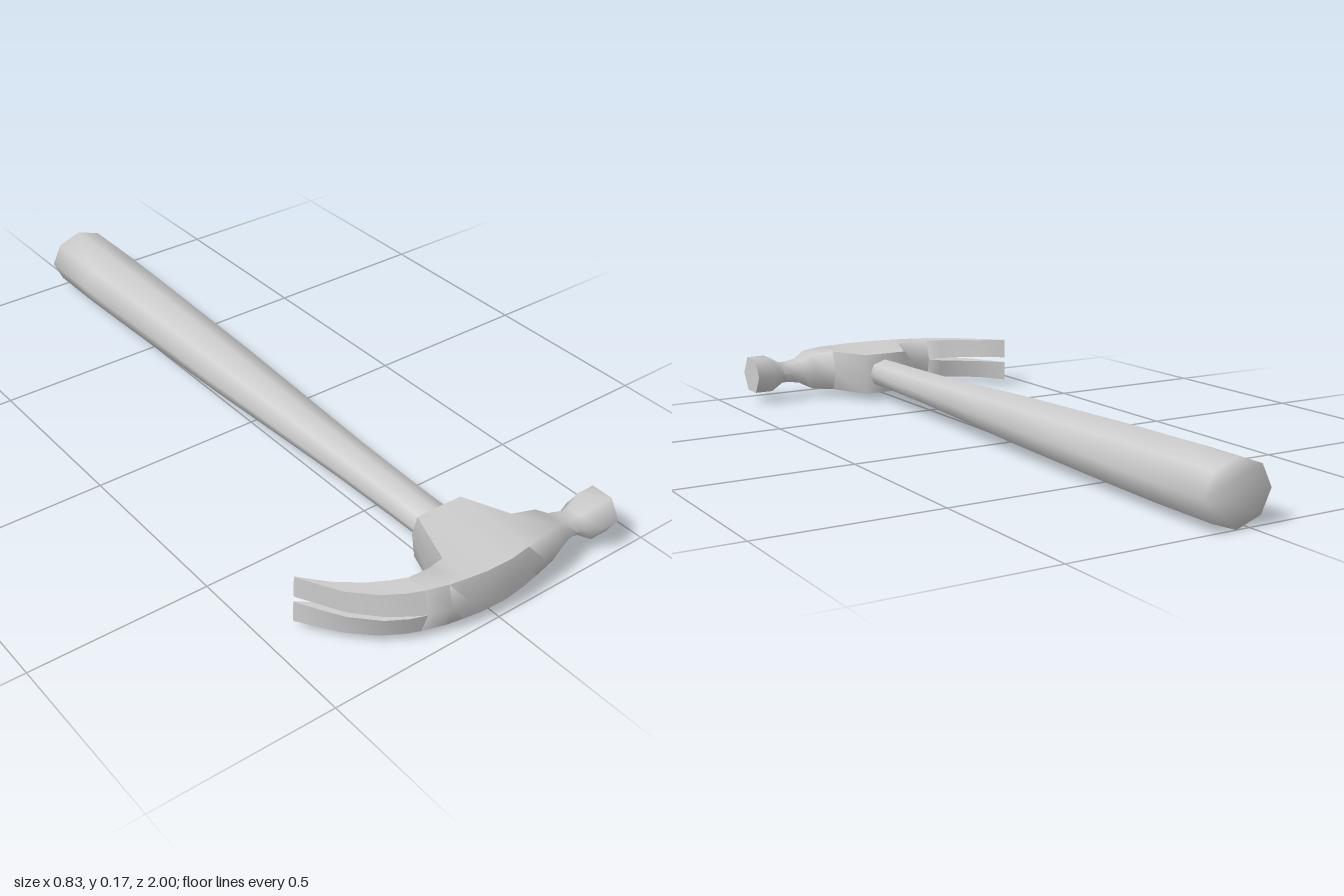
import * as THREE from 'three';
import { toCreasedNormals } from 'three/addons/utils/BufferGeometryUtils.js';

const CX = 0.038, CY = 0.088;

// Skins a list of equal-sized rings (counter-clockwise about the travel direction) and caps both ends.
function loft(rings, crease) {
  const n = rings[0].length, pos = rings.flat(2), index = [];
  rings.slice(1).forEach((_, i) => {
    for (let j = 0; j < n; j++) {
      const k = (j + 1) % n, a = i * n + j, b = i * n + k;
      index.push(a, b, b + n, a, b + n, a + n);
    }
  });
  const last = (rings.length - 1) * n;
  for (let j = 1; j < n - 1; j++) {
    index.push(0, j + 1, j, last, last + j, last + j + 1);
  }
  const g = new THREE.BufferGeometry();
  g.setAttribute('position', new THREE.Float32BufferAttribute(pos, 3));
  g.setIndex(index);
  if (crease) return toCreasedNormals(g, crease);
  g.computeVertexNormals();
  return g;
}

export function createModel() {
  const group = new THREE.Group();
  const material = new THREE.MeshStandardMaterial({ color: 0xcccccc });
  const add = (name, geometry) => {
    const mesh = new THREE.Mesh(geometry, material);
    mesh.name = name;
    group.add(mesh);
  };

  // Handle: eight-sided ellipses [z, half width, half height], thinning towards the head
  const handle = [
    [-1, 0.1, 0.085], [-0.8, 0.1, 0.085], [-0.6, 0.095, 0.082], [-0.15, 0.084, 0.07],
    [0.2, 0.07, 0.056], [0.4, 0.062, 0.049], [0.6, 0.058, 0.045], [0.8, 0.056, 0.043],
  ];
  add('handle', loft(handle.map(([z, rx, ry]) =>
    Array.from({ length: 8 }, (_, i) => {
      const a = i * Math.PI / 4;
      return [CX + rx * Math.cos(a), CY + ry * Math.sin(a), z];
    }))));

  // Head: six-sided sections [x, back z, front z, half height, bevel] from striking face to claw root
  const head = [
    [0.415, 0.86, 0.985, 0.053, 0.031], [0.36, 0.86, 0.985, 0.053, 0.031],
    [0.322, 0.874, 0.963, 0.031, 0.024], [0.3, 0.876, 0.957, 0.03, 0.022],
    [0.26, 0.865, 0.963, 0.036, 0.024], [0.225, 0.855, 0.975, 0.056, 0.022],
    [0.16, 0.84, 0.984, 0.0625, 0.02], [0.105, 0.72, 0.99, 0.0625, 0.016],
    [0.04, 0.72, 0.996, 0.0625, 0.014], [-0.035, 0.72, 0.994, 0.0625, 0.014],
    [-0.09, 0.868, 0.988, 0.0625, 0.016], [-0.14, 0.874, 0.981, 0.0625, 0.018],
    [-0.2, 0.87, 0.963, 0.0625, 0.018],
  ];
  add('head', loft(head.map(([x, zb, zf, h, b]) => [
    [zf, 0], [zf - b, h], [zb + b, h], [zb, 0], [zb + b, -h], [zf - b, -h],
  ].map(([z, y]) => [x, CY + y, z])), 1.3));

  // Claw: two curved prongs [x, back z, front z, inner y, outer y, bevel] either side of a narrow slot
  const prong = [
    [-0.2, 0.87, 0.963, 0, 0.0625, 0.018], [-0.24, 0.855, 0.944, 0.004, 0.0625, 0.016],
    [-0.29, 0.83, 0.912, 0.006, 0.0625, 0.014], [-0.35, 0.788, 0.85, 0.007, 0.063, 0.01],
    [-0.38, 0.764, 0.8, 0.008, 0.065, 0.005], [-0.415, 0.734, 0.738, 0.008, 0.068, 0],
  ];
  for (const side of [1, -1]) {
    const rings = prong.map(([x, zb, zf, yi, yo, b]) => {
      const ring = [[zf, yi], [zf - b, yo], [zb + b, yo], [zb, yi]]
        .map(([z, y]) => [x, CY + side * y, z]);
      return side > 0 ? ring : ring.reverse();
    });
    add(side > 0 ? 'upperClaw' : 'lowerClaw', loft(rings, 1.3));
  }
  return group;
}
